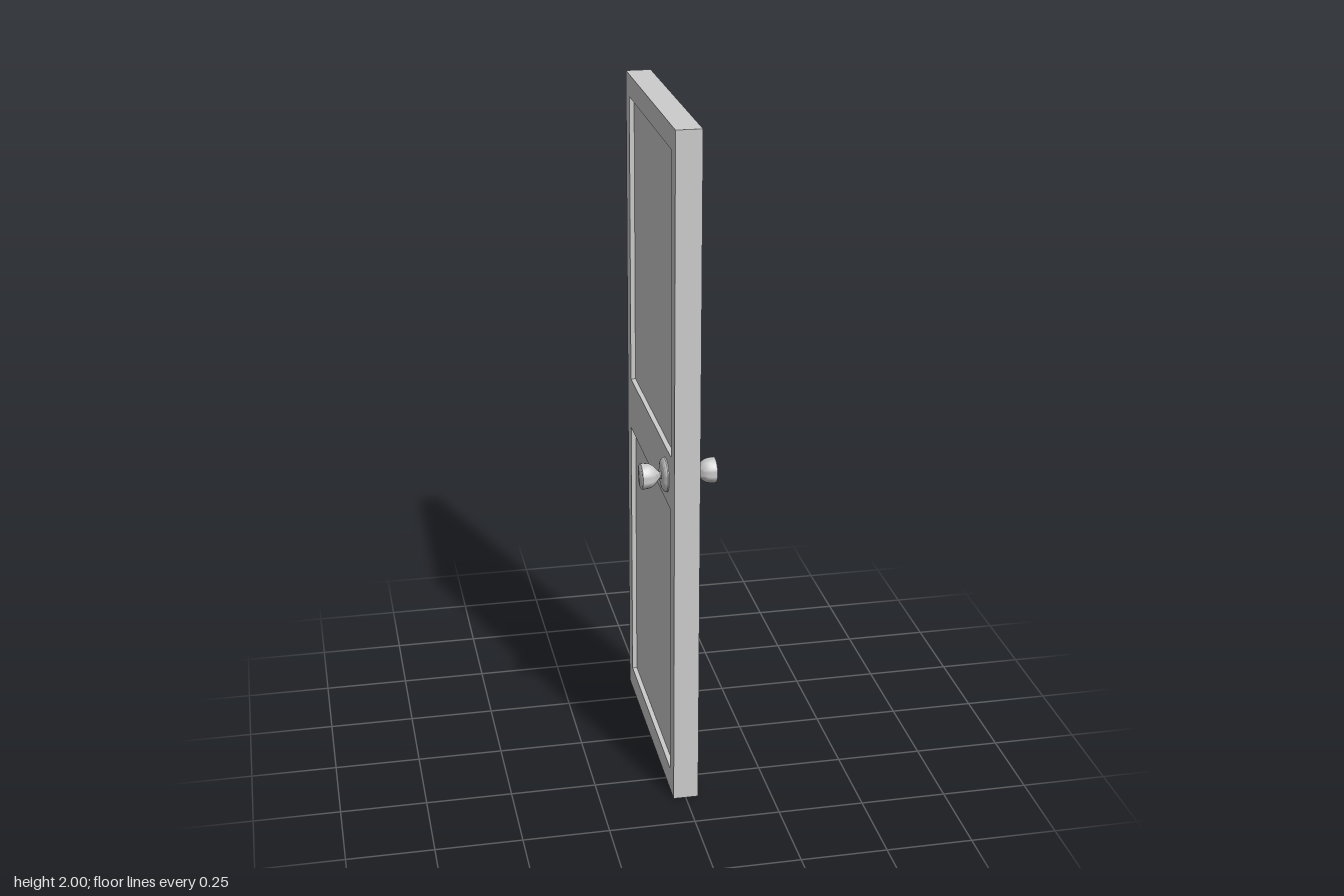
import * as THREE from 'three';
import { toCreasedNormals } from 'three/addons/utils/BufferGeometryUtils.js';

const HEIGHT = 2, WIDTH = 0.738, THICK = 0.073, RECESS = 0.014;
const PANEL_HALF = 0.315;
const PANELS = [{ name: 'lowerPanel', y0: 0.07, y1: 0.905 }, { name: 'upperPanel', y0: 1.065, y1: 1.935 }];

// Adds a rectangle to a Shape or Path
function rect(path, x0, y0, x1, y1) {
  path.moveTo(x0, y0);
  path.lineTo(x1, y0);
  path.lineTo(x1, y1);
  path.lineTo(x0, y1);
  path.closePath();
  return path;
}

// Turned part whose axis points along +x
function turned(points) {
  const geometry = new THREE.LatheGeometry(points.map(([r, h]) => new THREE.Vector2(r, h)), 32);
  geometry.rotateZ(-Math.PI / 2);
  return toCreasedNormals(geometry, Math.PI / 5);
}

export function createModel() {
  const grey = new THREE.MeshStandardMaterial({ color: 0xcccccc });
  grey.name = 'light grey';

  const group = new THREE.Group();
  group.name = 'door';
  const add = (parent, name, geometry) => {
    const mesh = new THREE.Mesh(geometry, grey);
    mesh.name = name;
    parent.add(mesh);
    return mesh;
  };

  // Door leaf, standing very slightly turned
  const leaf = new THREE.Group();
  leaf.name = 'doorLeaf';
  leaf.position.x = 0.003;
  leaf.rotation.y = -0.007;
  group.add(leaf);

  // Frame of stiles and rails with two panel openings
  const outline = rect(new THREE.Shape(), -WIDTH / 2, 0, WIDTH / 2, HEIGHT);
  for (const p of PANELS) outline.holes.push(rect(new THREE.Path(), -PANEL_HALF, p.y0, PANEL_HALF, p.y1));
  const frame = new THREE.ExtrudeGeometry(outline, { depth: THICK, bevelEnabled: false });
  frame.translate(0, 0, -THICK / 2);
  frame.rotateY(Math.PI / 2);
  add(leaf, 'frame', frame);

  // Recessed panels
  for (const p of PANELS) {
    const panel = new THREE.BoxGeometry(THICK - 2 * RECESS, p.y1 - p.y0, 2 * PANEL_HALF);
    add(leaf, p.name, panel).position.y = (p.y0 + p.y1) / 2;
  }

  // Domed rosette and flared knob, one set on each face
  const rosette = turned([[0.05, 0.034], [0.05, 0.039], [0.047, 0.043], [0.041, 0.047], [0.032, 0.049], [0, 0.05]]);
  const knob = turned([
    [0.017, 0.046], [0.012, 0.049], [0.009, 0.053], [0.013, 0.058], [0.022, 0.065], [0.029, 0.072],
    [0.034, 0.081], [0.036, 0.09], [0.037, 0.1], [0.037, 0.107], [0.034, 0.109], [0, 0.109],
  ]);
  for (const [name, z, turn] of [['leftHandle', 0.238, 0], ['rightHandle', 0.243, Math.PI]]) {
    const handle = new THREE.Group();
    handle.name = name;
    handle.position.set(0, 0.983, z);
    handle.rotation.y = turn + 0.01;
    add(handle, 'rosette', rosette);
    add(handle, 'knob', knob);
    group.add(handle);
  }
  return group;
}
